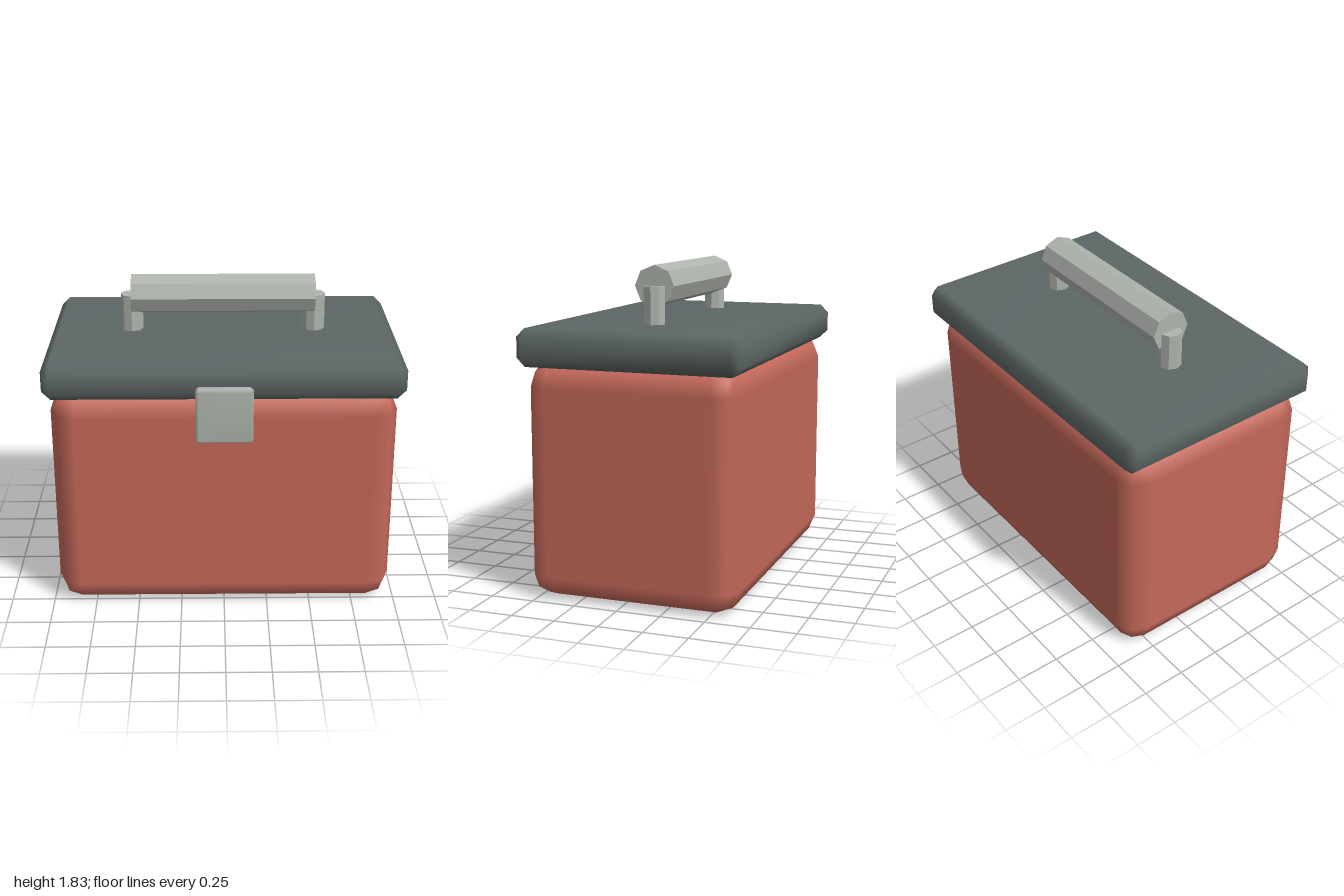
import * as THREE from 'three';
import { mergeVertices } from 'three/addons/utils/BufferGeometryUtils.js';
import { RoundedBoxGeometry } from 'three/addons/geometries/RoundedBoxGeometry.js';
import { ConvexGeometry } from 'three/addons/geometries/ConvexGeometry.js';

const CENTER_Z = -0.045;

// Box with every edge cut by one 45 degree chamfer, shaded smooth
function chamferedBox(w, h, d, c) {
  const points = [];
  for (const sx of [-1, 1]) for (const sy of [-1, 1]) for (const sz of [-1, 1]) {
    for (let axis = 0; axis < 3; axis++) {
      const inset = [c, c, c];
      inset[axis] = 0;
      points.push(new THREE.Vector3(
        sx * (w / 2 - inset[0]), sy * (h / 2 - inset[1]), sz * (d / 2 - inset[2])));
    }
  }
  const hull = new ConvexGeometry(points);
  hull.deleteAttribute('normal');
  const geometry = mergeVertices(hull);
  geometry.computeVertexNormals();
  return geometry;
}

// Low-poly octagonal rod, flat shaded by separate faces
function octagonRod(radius, length) {
  const geometry = new THREE.CylinderGeometry(radius, radius, length, 8).toNonIndexed();
  geometry.computeVertexNormals();
  return geometry;
}

export function createModel() {
  const red = new THREE.MeshStandardMaterial({ name: 'boxRed', color: 0xc4685a });
  const slate = new THREE.MeshStandardMaterial({ name: 'lidSlate', color: 0x5d6766 });
  const grey = new THREE.MeshStandardMaterial({ name: 'metalGrey', color: 0xafb4ad });

  const model = new THREE.Group();
  model.name = 'coolerBox';

  function add(name, geometry, material, x, y, z, parent = model) {
    const mesh = new THREE.Mesh(geometry, material);
    mesh.name = name;
    mesh.position.set(x, y, z);
    parent.add(mesh);
    return mesh;
  }

  // Rounded body, its top tucked into the lid
  add('body', new RoundedBoxGeometry(1.94, 1.32, 1.205, 1, 0.135), red, 0, 0.66, CENTER_Z);

  // Overhanging lid
  add('lid', chamferedBox(2, 0.21, 1.265, 0.048), slate, 0, 1.4, CENTER_Z);

  // Latch plate standing just off the front
  add('latch', chamferedBox(0.315, 0.315, 0.07, 0.016), grey, 0, 1.242, 0.64);

  // Carrying handle: two posts and a grip
  const handle = new THREE.Group();
  handle.name = 'handle';
  model.add(handle);
  for (const side of [-1, 1]) {
    add(side > 0 ? 'leftPost' : 'rightPost', octagonRod(0.063, 0.23), grey,
      side * 0.527, 1.6, CENTER_Z, handle);
  }
  const grip = add('grip', octagonRod(0.115, 1.055), grey, 0, 1.715, CENTER_Z, handle);
  grip.rotation.z = Math.PI / 2;

  return model;
}
